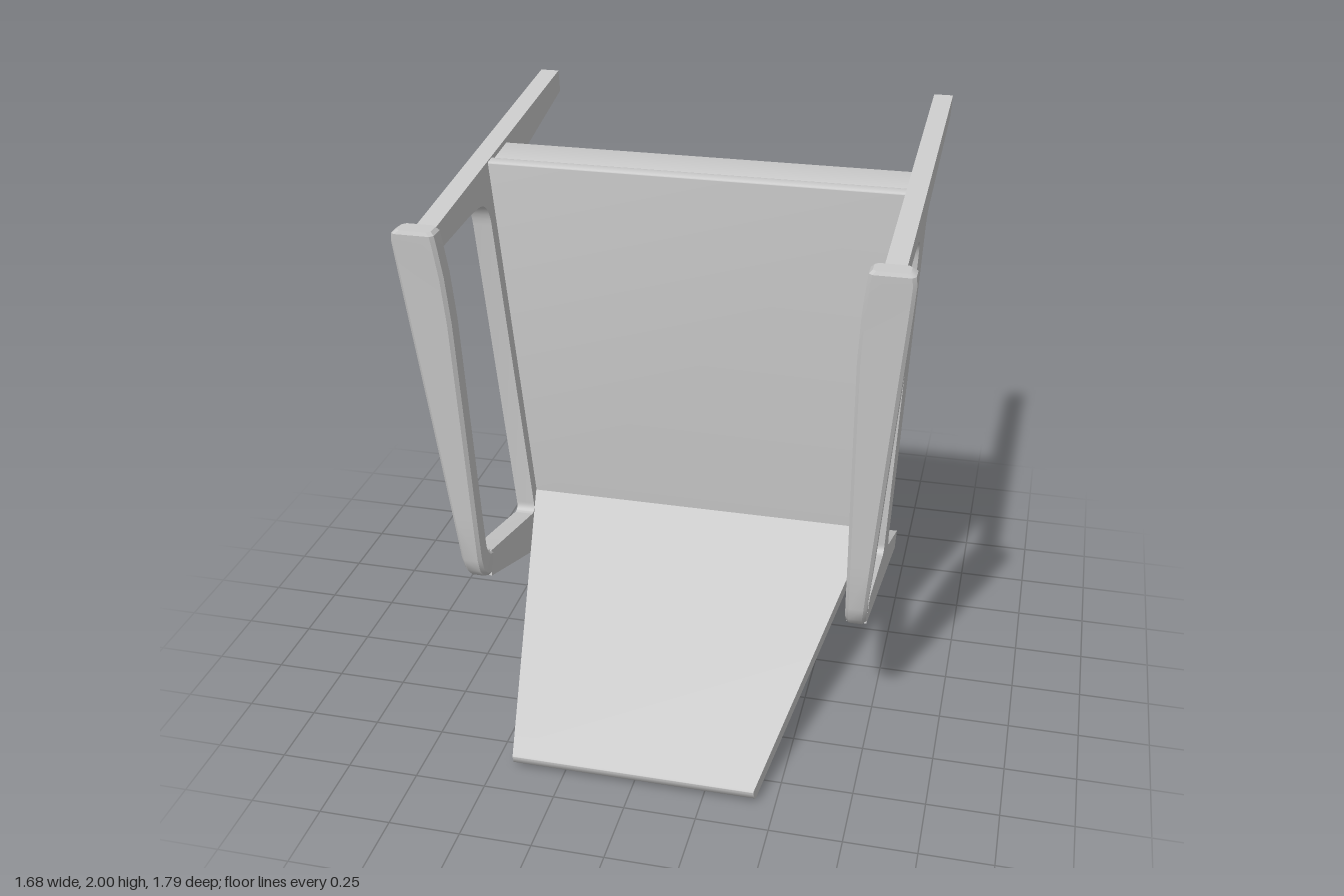
import * as THREE from 'three';
import { toCreasedNormals } from 'three/addons/utils/BufferGeometryUtils.js';

const material = new THREE.MeshStandardMaterial({ color: 0xcccccc });

// Closed outline from [z, y, cornerRadius] points; corners with a radius are rounded.
function outline(points) {
  const shape = new THREE.Shape();
  const n = points.length;
  points.forEach(([z, y, r = 0], i) => {
    const corner = new THREE.Vector2(-z, y);
    const towards = ([pz, py]) =>
      new THREE.Vector2(-pz, py).sub(corner).setLength(r).add(corner);
    const a = r ? towards(points[(i + n - 1) % n]) : corner;
    const b = r ? towards(points[(i + 1) % n]) : corner;
    if (i === 0) shape.moveTo(a.x, a.y);
    else shape.lineTo(a.x, a.y);
    if (r) shape.quadraticCurveTo(corner.x, corner.y, b.x, b.y);
  });
  shape.closePath();
  return shape;
}

// Side profile spread across x; xAt(w, y, z) places each side, w being -1 or 1.
function prism(name, points, xAt) {
  let geo = new THREE.ExtrudeGeometry(outline(points), {
    depth: 2, bevelEnabled: false, curveSegments: 8,
  });
  geo.translate(0, 0, -1).rotateY(Math.PI / 2);
  const p = geo.attributes.position;
  for (let i = 0; i < p.count; i++) p.setX(i, xAt(p.getX(i), p.getY(i), p.getZ(i)));
  geo = toCreasedNormals(geo, 0.6);
  const mesh = new THREE.Mesh(geo, material);
  mesh.name = name;
  return mesh;
}

// The side frames lean outwards with height.
const frameX = (y) => 0.667 + 0.0525 * y;

// Legs, column and lower beam of one side, cut as a single board.
const FRAME = [
  [0.56, 1.848], [-0.89, 2.0], [-0.89, 1.92], [-0.18, 1.782, 0.055],
  [-0.322, 0.35, 0.075], [-0.89, 0.085], [-0.89, 0], [0.39, 0.46],
  [0.37, 0.555], [-0.12, 0.442, 0.04], [0.018, 1.78, 0.1], [0.2, 1.785], [0.56, 1.768],
];

// Armrest sections: front z, y, back z, y, inner x, outer x.
const ARM = [
  [0.385, 0.458, 0.355, 0.552, 0.658, 0.728],
  [0.435, 0.485, 0.378, 0.56, 0.657, 0.728],
  [0.468, 0.522, 0.398, 0.578, 0.658, 0.73],
  [0.485, 0.575, 0.41, 0.61, 0.659, 0.735],
  [0.505, 0.76, 0.426, 0.76, 0.661, 0.75],
  [0.547, 1.15, 0.469, 1.15, 0.664, 0.783],
  [0.59, 1.55, 0.512, 1.55, 0.668, 0.818],
  [0.608, 1.72, 0.53, 1.72, 0.677, 0.833],
  [0.622, 1.84, 0.543, 1.84, 0.69, 0.842],
  [0.625, 1.868, 0.546, 1.868, 0.694, 0.838],
  [0.62, 1.88, 0.552, 1.88, 0.705, 0.82],
];

// Tapering armrest lofted through chamfered rectangular sections.
function armrest(side) {
  const c = 0.012;
  const pos = [], idx = [];
  for (const [fz, fy, bz, by, xi, xo] of ARM) {
    const t = c / Math.hypot(fz - bz, fy - by);
    const ring = [
      [xi + c, 0], [xo - c, 0], [xo, t], [xo, 1 - t],
      [xo - c, 1], [xi + c, 1], [xi, 1 - t], [xi, t],
    ];
    for (const [x, k] of ring) pos.push(side * x, fy + (by - fy) * k, fz + (bz - fz) * k);
  }
  const tri = (a, b, d) => (side > 0 ? idx.push(a, b, d) : idx.push(a, d, b));
  const last = (ARM.length - 1) * 8;
  for (let i = 0; i < last; i += 8) {
    for (let j = 0; j < 8; j++) {
      const a = i + j, b = i + ((j + 1) % 8);
      tri(a, b, b + 8);
      tri(a, b + 8, a + 8);
    }
  }
  for (let j = 1; j < 7; j++) {
    tri(last, last + j, last + j + 1);
    tri(0, j + 1, j);
  }
  const geo = new THREE.BufferGeometry();
  geo.setAttribute('position', new THREE.Float32BufferAttribute(pos, 3));
  geo.setIndex(idx);
  const mesh = new THREE.Mesh(toCreasedNormals(geo, 0.5), material);
  mesh.name = 'armrest';
  return mesh;
}

export function createModel() {
  const chair = new THREE.Group();
  chair.name = 'armchair';

  // Mirrored side frames with armrests
  for (const side of [1, -1]) {
    const group = new THREE.Group();
    group.name = side > 0 ? 'leftSide' : 'rightSide';
    group.add(prism('sideFrame', FRAME, (w, y) => side * frameX(y) + w * 0.035));
    group.add(armrest(side));
    chair.add(group);
  }

  // Seat board between the columns
  const between = (w, y) => w * (frameX(y) - 0.034);
  chair.add(prism('seat', [
    [-0.02, 1.905, 0.008], [-0.165, 0.475], [-0.21, 0.48], [-0.068, 1.909, 0.008],
  ], between));

  // Rail turned back from the seat edge
  chair.add(prism('seatRail', [
    [-0.06, 1.86], [-0.06, 1.885], [-0.075, 1.897, 0.008], [-0.232, 1.914, 0.01], [-0.228, 1.874, 0.01],
  ], between));

  // Tapering backrest board
  chair.add(prism('backrest', [
    [0.9, 0.062, 0.012], [-0.16, 0.518], [-0.175, 0.478], [0.88, 0.019, 0.012],
  ], (w, y, z) => w * (0.43 + (0.89 - z) * 0.2195)));

  return chair;
}
